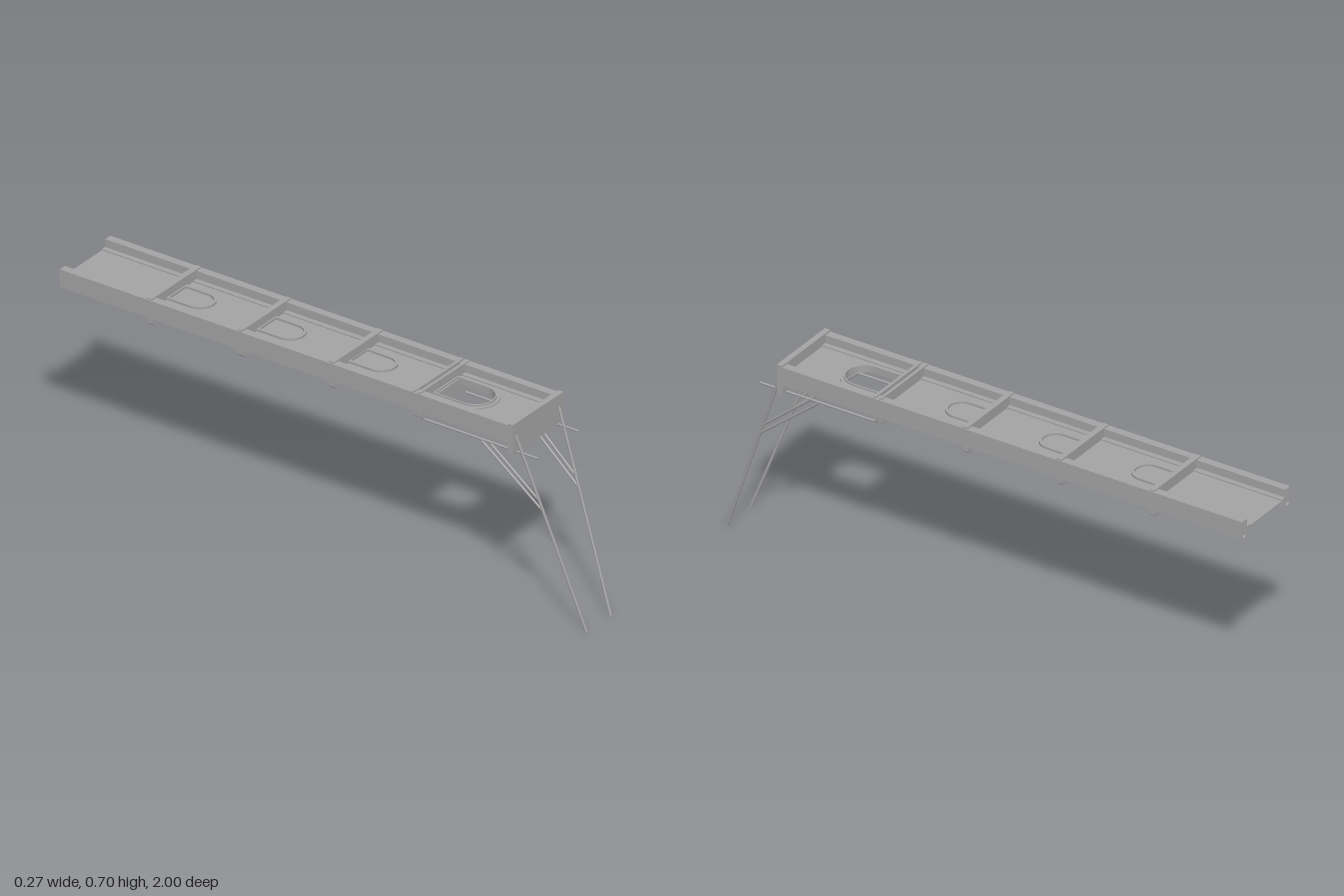
import * as THREE from 'three';

export function createModel() {
  const group = new THREE.Group();
  const grey = new THREE.MeshStandardMaterial({ color: 0xa3a3a3 });
  grey.name = 'plain grey';

  const add = (name, geometry, x = 0, y = 0, z = 0) => {
    const mesh = new THREE.Mesh(geometry, grey);
    mesh.name = name;
    mesh.position.set(x, y, z);
    group.add(mesh);
    return mesh;
  };
  const extrude = (shape, depth) =>
    new THREE.ExtrudeGeometry(shape, { depth, bevelEnabled: false, curveSegments: 20 });
  const box = (name, w, h, d, x, y, z) => add(name, new THREE.BoxGeometry(w, h, d), x, y, z);

  // Straight round bar between two points
  const rod = (name, a, b, r) => {
    const from = new THREE.Vector3(...a), to = new THREE.Vector3(...b);
    const dir = to.clone().sub(from);
    const mesh = add(name, new THREE.CylinderGeometry(r, r, dir.length(), 10));
    mesh.position.copy(from).add(to).multiplyScalar(0.5);
    mesh.quaternion.setFromUnitVectors(new THREE.Vector3(0, 1, 0), dir.normalize());
  };

  // U-shaped outline lying flat: straight end at z0, round end at z1
  const uShape = (w, z0, z1, Type = THREE.Shape) => {
    const s = new Type();
    s.moveTo(-w, -z0);
    s.lineTo(-w, -(z1 - w));
    s.absarc(0, -(z1 - w), w, Math.PI, 2 * Math.PI, false);
    s.lineTo(w, -z0);
    s.closePath();
    return s;
  };
  const flat = (shape, thickness) => extrude(shape, thickness).rotateX(-Math.PI / 2);
  const rim = (name, w, t, z0, z1, y0, y1) => {
    const s = uShape(w + t, z0 - t, z1 + t);
    s.holes.push(uShape(w, z0, z1, THREE.Path));
    add(name, flat(s, y1 - y0), 0, y0, 0);
  };

  const OUT = 0.136, IN = 0.108, BACK = -1, FRONT = 0.75, FLOOR = 0.66;

  // Floor panel with the front opening
  const floor = new THREE.Shape([[-IN, -FRONT], [IN, -FRONT], [IN, -BACK], [-IN, -BACK]]
    .map(p => new THREE.Vector2(...p)));
  floor.holes.push(uShape(0.062, 0.405, 0.58, THREE.Path));
  add('floorPanel', flat(floor, 0.005), 0, FLOOR - 0.005, 0);
  rim('openingRim', 0.062, 0.005, 0.405, 0.58, FLOOR - 0.015, FLOOR + 0.01);
  rim('openingFlange', 0.067, 0.012, 0.41, 0.585, FLOOR - 0.008, FLOOR + 0.004);

  // Raised rims ahead of the three rear frames
  for (const z of [0.05, -0.305, -0.655])
    rim('pocketRim', 0.044, 0.009, z + 0.015, z + 0.145, FLOOR - 0.012, FLOOR + 0.008);

  // Hollow side beams, ledges, legs and braces
  for (const s of [-1, 1]) {
    const cx = s * (OUT + IN) / 2, hw = (OUT - IN) / 2;
    const rect = (w, h, Type) => {
      const p = new Type();
      p.moveTo(-w, -h); p.lineTo(w, -h); p.lineTo(w, h); p.lineTo(-w, h); p.closePath();
      return p;
    };
    const section = rect(hw, 0.032, THREE.Shape);
    section.holes.push(rect(hw - 0.003, 0.029, THREE.Path));
    add('sideBeam', extrude(section, FRONT - BACK), cx, 0.66, BACK);
    box('floorLedge', 0.018, 0.004, FRONT - BACK, s * (IN - 0.009), FLOOR + 0.002, (FRONT + BACK) / 2);

    const legX = y => s * (0.065 + 0.051 * y / 0.655);
    const legZ = y => 0.996 - 0.239 * y / 0.655;
    rod('leg', [legX(0.002), 0.002, legZ(0.002)], [legX(0.655), 0.655, legZ(0.655)], 0.005);
    rod('mountingRail', [s * 0.11, 0.593, 0.84], [s * 0.11, 0.593, 0.4], 0.004);
    rod('lowerBrace', [legX(0.4), 0.4, legZ(0.4)], [s * 0.11, 0.593, 0.615], 0.004);
    rod('upperBrace', [legX(0.435), 0.435, legZ(0.435)], [s * 0.11, 0.593, 0.65], 0.004);
  }

  // Cross frames with chamfered lower corners and a capping bar
  const frame = new THREE.Shape([[-0.115, 0.595], [0.115, 0.595], [0.13, 0.607], [0.13, 0.63],
    [0.107, 0.63], [0.107, 0.692], [-0.107, 0.692], [-0.107, 0.63], [-0.13, 0.63], [-0.13, 0.607]]
    .map(p => new THREE.Vector2(...p)));
  for (const [z, d] of [[-0.655, 0.02], [-0.305, 0.02], [0.052, 0.02], [0.372, 0.01], [0.394, 0.01]]) {
    add('crossFrame', extrude(frame, d), 0, 0, z - d / 2);
    box('crossBar', 0.264, 0.006, d, 0, 0.694, z);
  }

  // Front end plate
  box('frontPlate', 2 * OUT, 0.106, 0.02, 0, 0.645, 0.75);
  return group;
}
